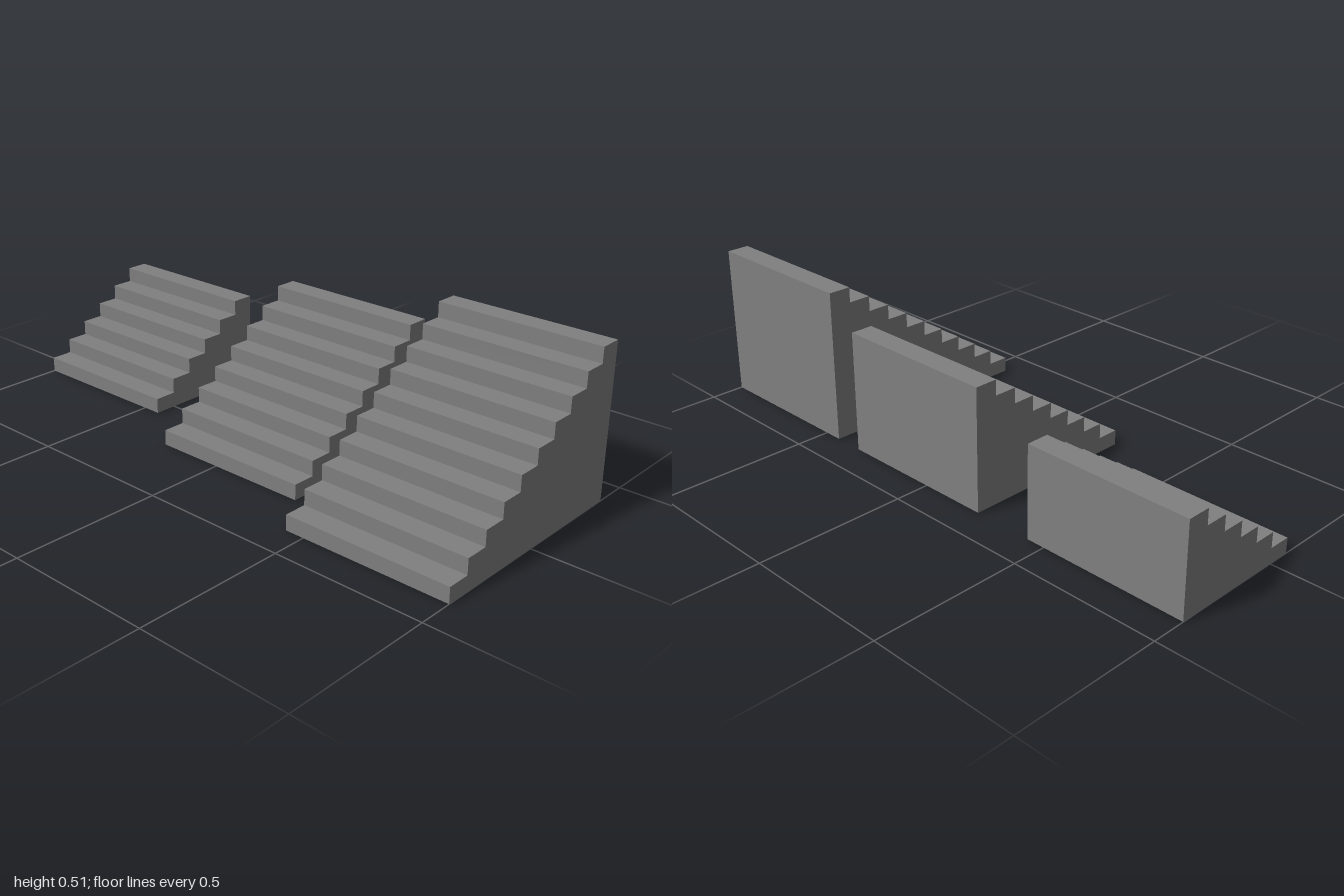
import * as THREE from 'three';

const UNIT = 1 / 39;
const RUN = 3 * UNIT;    // tread depth
const RISE = 2 * UNIT;   // step height
const WIDTH = 22 * UNIT; // width of each flight
const BACK_X = 15 * UNIT; // shared tall end

// Solid flight of stairs climbing towards +x, extruded along z
function makeStairs(steps, zStart, material, name) {
  const startX = BACK_X - steps * RUN;
  const profile = new THREE.Shape();
  profile.moveTo(BACK_X, 0);
  profile.lineTo(BACK_X, steps * RISE);
  for (let i = steps - 1; i >= 0; i--) {
    profile.lineTo(startX + i * RUN, (i + 1) * RISE);
    profile.lineTo(startX + i * RUN, i * RISE);
  }
  const geometry = new THREE.ExtrudeGeometry(profile, { depth: WIDTH, bevelEnabled: false });
  const mesh = new THREE.Mesh(geometry, material);
  mesh.position.z = zStart;
  mesh.name = name;
  return mesh;
}

export function createModel() {
  const group = new THREE.Group();
  group.name = 'stairFlights';
  const grey = new THREE.MeshStandardMaterial({ color: 0x808080 });
  grey.name = 'grey';

  // Three flights of decreasing height, front to back
  group.add(
    makeStairs(10, 17 * UNIT, grey, 'tallStairs'),
    makeStairs(8, -9 * UNIT, grey, 'mediumStairs'),
    makeStairs(6, -39 * UNIT, grey, 'shortStairs')
  );
  return group;
}
